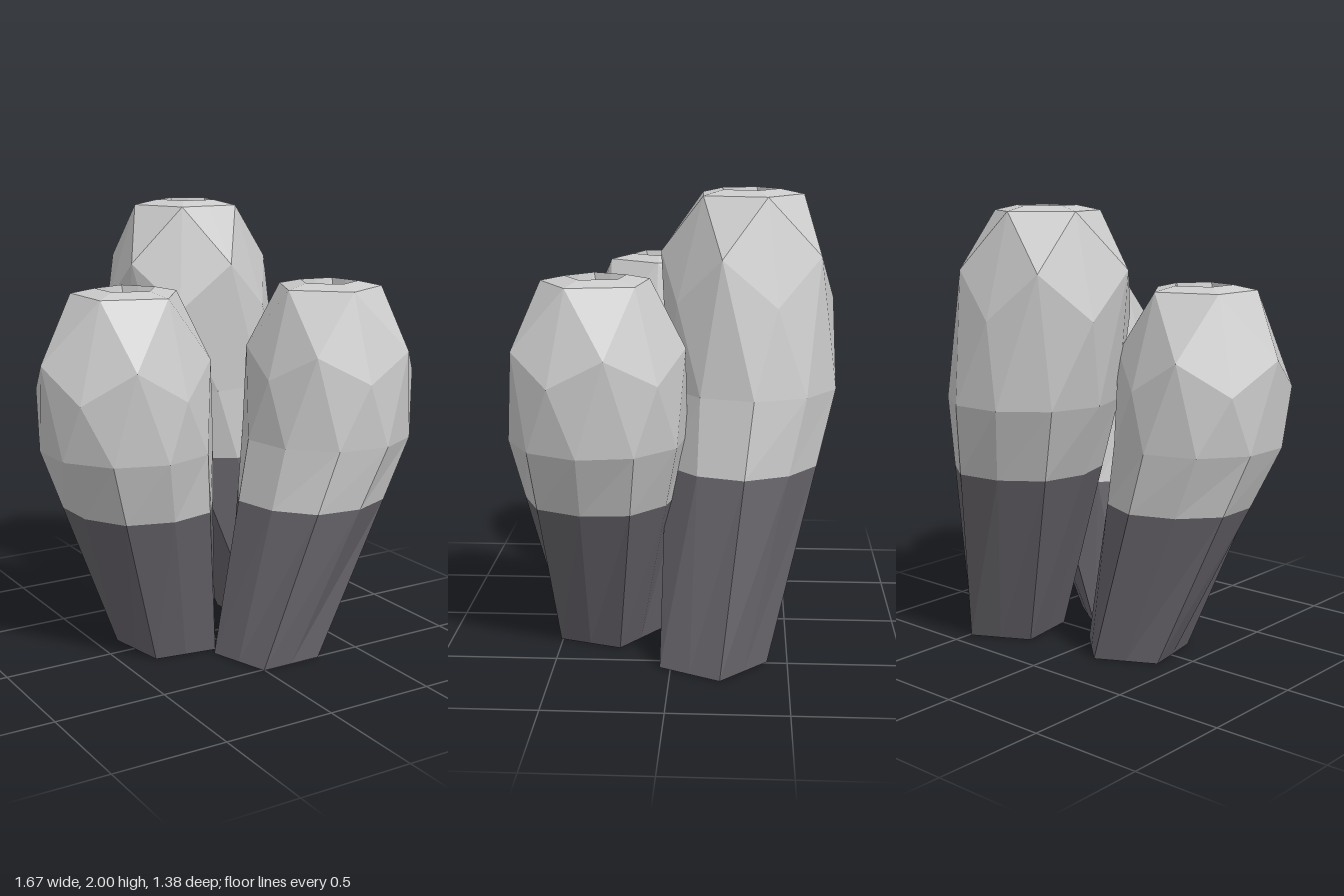
import * as THREE from 'three';

const SIDES = 10;

// Ring of ten points. parity 0/1 makes a pentagon whose corners sit on the even/odd points.
function ring([x, y, z], r, phase, parity = -1) {
  return Array.from({ length: SIDES }, (_, i) => {
    const a = THREE.MathUtils.degToRad(phase + i * 36);
    const k = parity < 0 || i % 2 === parity ? r : r * Math.cos(Math.PI / 5);
    return new THREE.Vector3(x + k * Math.cos(a), y, z + k * Math.sin(a));
  });
}

// Faceted skin through a list of rings; split(i) picks the diagonal of each quad.
function loft(sections) {
  const pos = [];
  const tri = (...p) => {
    if (new THREE.Triangle(...p).getArea() > 1e-7) p.forEach(v => pos.push(v.x, v.y, v.z));
  };
  for (const [a, b, split] of sections) {
    for (let i = 0; i < SIDES; i++) {
      const j = (i + 1) % SIDES;
      if (split(i)) {
        tri(a[i], b[i], b[j]);
        tri(a[i], b[j], a[j]);
      } else {
        tri(a[i], b[i], a[j]);
        tri(a[j], b[i], b[j]);
      }
    }
  }
  const g = new THREE.BufferGeometry();
  g.setAttribute('position', new THREE.Float32BufferAttribute(pos, 3));
  g.computeVertexNormals();
  return g;
}

// Centres of the base, the widest belt, the shoulder and the rim of each pod
const PODS = [
  { name: 'rightPod', base: [-0.18, 0, -0.02], belt: [-0.445, 0.98, 0.09], shoulder: [-0.47, 1.3, 0.1],
    rim: [-0.445, 1.64, 0.1], drop: 0.07, phase: 0, basePhase: 26, baseParity: 1 },
  { name: 'leftPod', base: [0.14, 0, 0.31], belt: [0.44, 0.98, 0.31], shoulder: [0.46, 1.32, 0.31],
    rim: [0.44, 1.64, 0.31], drop: 0.06, phase: 26, basePhase: 54, baseParity: 0 },
  { name: 'backPod', base: [0.455, 0, -0.17], belt: [0.15, 1.16, -0.33], shoulder: [0.08, 1.63, -0.31],
    rim: [0.08, 1.975, -0.31], drop: 0.1, phase: -20, basePhase: -10, baseParity: 0 },
];

export function createModel() {
  const model = new THREE.Group();
  model.name = 'podCluster';
  const shell = new THREE.MeshStandardMaterial({ color: 0xcbcbcb });
  shell.name = 'paleGrey';
  const stalk = new THREE.MeshStandardMaterial({ color: 0x68656b });
  stalk.name = 'darkGrey';

  const straight = () => false;
  const leaning = () => true;
  const even = i => i % 2 === 1;

  for (const p of PODS) {
    const base = ring(p.base, 0.245, p.basePhase, p.baseParity);
    const tip = ring(p.base, 0, 0);
    const belt = ring(p.belt, 0.378, p.phase + 18);
    // Colour boundary part way up the tapered stalk
    const seam = base.map((v, i) => v.clone().lerp(belt[i], 0.72));
    // Shoulder zigzags: wide low points under the rim corners, higher ones between
    const shoulder = ring(p.shoulder, 0.375, p.phase);
    shoulder.forEach((v, i) => { v.y += i % 2 ? p.drop : -p.drop; });
    // Flat pentagonal rim with a shallow opening
    const rim = ring(p.rim, 0.24, p.phase, 0);
    const [x, y, z] = p.rim;
    const lip = ring([x, y + 0.022, z], 0.135, p.phase, 0);
    const floor = ring([x, y - 0.08, z], 0.11, p.phase + 8, 0);
    const middle = ring([x, y - 0.08, z], 0, 0);

    const pod = new THREE.Group();
    pod.name = p.name;
    const lower = new THREE.Mesh(loft([[tip, base, straight], [base, seam, straight]]), stalk);
    lower.name = 'stalk';
    const upper = new THREE.Mesh(loft([
      [seam, belt, straight],
      [belt, shoulder, leaning],
      [shoulder, rim, even],
      [rim, lip, straight],
      [lip, floor, straight],
      [floor, middle, straight],
    ]), shell);
    upper.name = 'shell';
    pod.add(lower, upper);
    model.add(pod);
  }
  return model;
}
